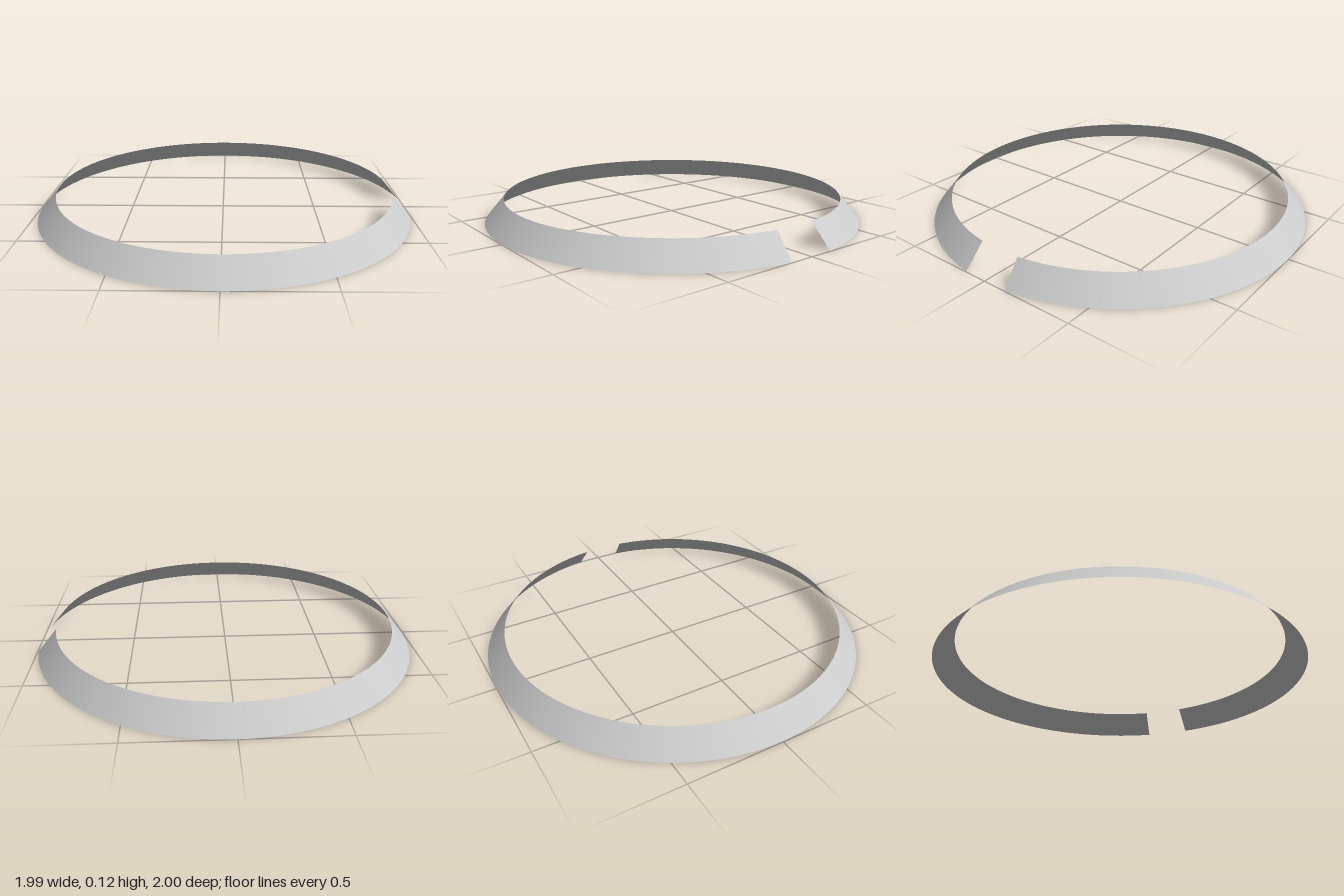
import * as THREE from 'three';

export function createModel() {
  const group = new THREE.Group();
  const halfGap = THREE.MathUtils.degToRad(7.25);

  // Thin sloping band, open at the model's left (+x)
  const profile = [new THREE.Vector2(1, 0), new THREE.Vector2(0.898, 0.12)];
  const geometry = new THREE.LatheGeometry(
    profile, 128, Math.PI / 2 + halfGap, 2 * (Math.PI - halfGap));

  // The gap shortens the +x side, so shift the band to stay centred
  geometry.translate((1 - Math.cos(halfGap)) / 2, 0, 0);

  const band = new THREE.Mesh(geometry, new THREE.MeshStandardMaterial({
    color: 0xcccccc, side: THREE.DoubleSide,
  }));
  band.name = 'splitConicalBand';
  group.add(band);
  return group;
}
